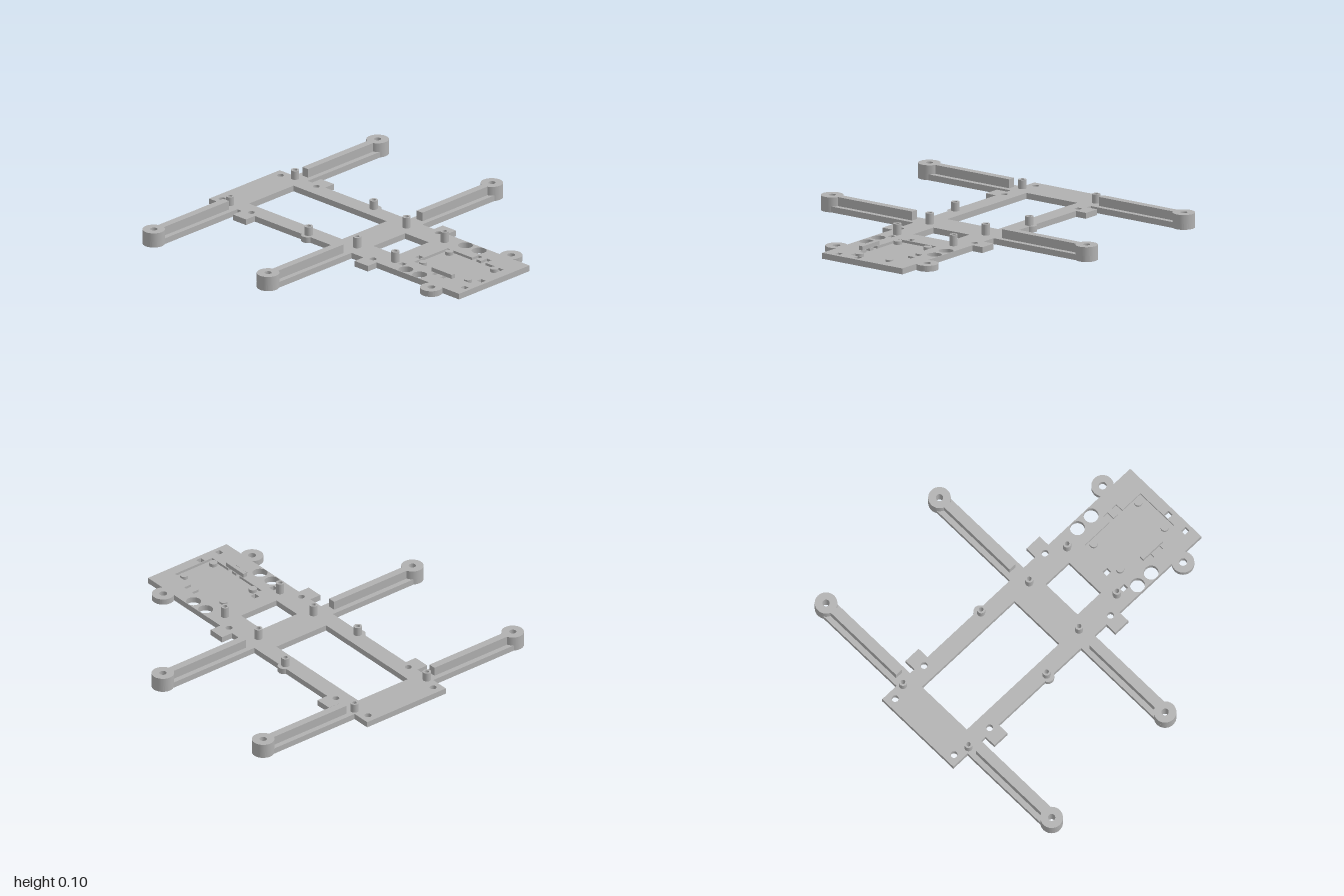
import * as THREE from 'three';

const PLATE = 0.035, FLOOR = 0.02, HALF = 0.29;   // plate top, pocket floor, half depth
const ARM_X = [-0.83, 0.085], ARM_Z = 0.92, BOSS_R = 0.065, ARM_W = 0.055, BOSS_TOP = 0.088;
const STANDOFFS = [[-0.855, 0.267, 0.088], [-0.225, 0.267, 0.088], [0.1, 0.203, 0.1], [0.405, 0.203, 0.1]];

export function createModel() {
  const group = new THREE.Group();
  const grey = new THREE.MeshStandardMaterial({ color: 0xb0b0b0 });

  const add = (name, geometry) => {
    const mesh = new THREE.Mesh(geometry, grey);
    mesh.name = name;
    group.add(mesh);
  };
  // Extrudes a plan shape (x, -z) upwards between two heights
  const slab = (shape, y0, y1) => new THREE.ExtrudeGeometry(shape,
    { depth: y1 - y0, bevelEnabled: false, curveSegments: 32 }).rotateX(-Math.PI / 2).translate(0, y0, 0);
  const disc = (x, y, r) => new THREE.Path().absarc(x, y, r, 0, Math.PI * 2, false);
  const poly = (pts) => new THREE.Path(pts.map(([x, y]) => new THREE.Vector2(x, y)));
  const rect = (x0, x1, y0, y1) => poly([[x0, y0], [x1, y0], [x1, y1], [x0, y1]]);
  const ring = (x, y, r, hole, y0, y1) => {
    const s = new THREE.Shape(disc(x, y, r).getPoints(32));
    s.holes.push(disc(x, y, hole));
    return slab(s, y0, y1);
  };

  // One long edge of the plate, from left to right
  const edge = [[-1, HALF]];
  const bump = (x, cy, r, dy) => {
    const a = Math.asin(dy / r), n = 28;
    for (let i = 0; i <= n; i++) {
      const t = Math.PI - a + (2 * a - Math.PI) * i / n;
      edge.push([x + r * Math.cos(t), cy + r * Math.sin(t)]);
    }
  };
  const arm = (x) => {
    edge.push([x - ARM_W, HALF]);
    bump(x, ARM_Z, BOSS_R, -Math.sqrt(BOSS_R ** 2 - ARM_W ** 2));
    edge.push([x + ARM_W, HALF]);
  };
  const tab = (x0, x1) => edge.push([x0, HALF], [x0, 0.362], [x1, 0.362], [x1, HALF]);
  arm(ARM_X[0]);
  tab(-0.74, -0.635);
  bump(-0.225, 0.277, 0.037, HALF - 0.277);
  arm(ARM_X[1]);
  tab(0.235, 0.34);
  bump(0.815, 0.328, BOSS_R, HALF - 0.328);
  edge.push([1, HALF]);
  const outline = [...edge, ...edge.map(([x, y]) => [x, -y]).reverse()].reverse();

  // Openings that go right through
  const holes = [rect(-0.785, -0.04, -0.183, 0.183), rect(0.16, 0.348, -0.13, 0.13)];
  for (const x0 of [0.444, 0.94]) {
    holes.push(rect(x0, x0 + 0.036, -0.08, -0.046), rect(x0, x0 + 0.036, -0.217, -0.185));
  }
  for (const s of [-1, 1]) {
    for (const [x, z, r] of [[-0.945, 0.24, 0.02], [-0.685, 0.267, 0.02], [0.29, 0.267, 0.02],
      [0.53, 0.245, 0.043], [0.64, 0.245, 0.043], [0.815, 0.328, 0.023]]) holes.push(disc(x, s * z, r));
    for (const x of ARM_X) holes.push(disc(x, s * ARM_Z, 0.021));
    for (const [x, z] of STANDOFFS) holes.push(disc(x, s * z, 0.013));
  }

  // Recessed pocket with two slots on each long side
  const pocket = poly([
    [0.487, -0.132], [0.685, -0.132], [0.685, -0.19], [0.72, -0.19], [0.72, -0.132],
    [0.755, -0.132], [0.755, -0.19], [0.79, -0.19], [0.79, -0.132], [0.936, -0.132],
    [0.936, 0.142], [0.79, 0.142], [0.79, 0.192], [0.755, 0.192], [0.755, 0.142],
    [0.72, 0.142], [0.72, 0.192], [0.685, 0.192], [0.685, 0.142], [0.487, 0.142]]);
  const plate = (openings) => {
    const s = new THREE.Shape(outline.map(([x, y]) => new THREE.Vector2(x, y)));
    s.holes.push(...openings);
    return s;
  };
  add('lowerPlate', slab(plate(holes), 0, FLOOR));
  add('upperPlate', slab(plate([...holes, pocket]), FLOOR, PLATE));

  for (const s of [-1, 1]) {
    // Arm ribs and motor bosses
    for (const x of ARM_X) {
      const length = ARM_Z - 0.05 - 0.325;
      add('armRib', new THREE.BoxGeometry(0.046, BOSS_TOP - PLATE, length)
        .translate(x, (BOSS_TOP + PLATE) / 2, s * (0.325 + length / 2)));
      add('armBoss', ring(x, s * ARM_Z, BOSS_R, 0.021, PLATE, BOSS_TOP));
    }
    // Hollow standoffs
    for (const [x, z, top] of STANDOFFS) add('standoff', ring(x, s * z, 0.024, 0.013, PLATE, top));
  }

  // Locating pegs in the pocket and the raised bar beside it
  for (const x of [0.53, 0.89]) {
    for (const z of [-0.113, 0.103]) {
      add('pocketPeg', new THREE.CylinderGeometry(0.024, 0.024, 0.02, 32).translate(x, FLOOR + 0.01, z));
    }
  }
  add('retainingBar', new THREE.BoxGeometry(0.16, 0.06 - PLATE, 0.026).translate(0.738, (0.06 + PLATE) / 2, 0.15));
  return group;
}
